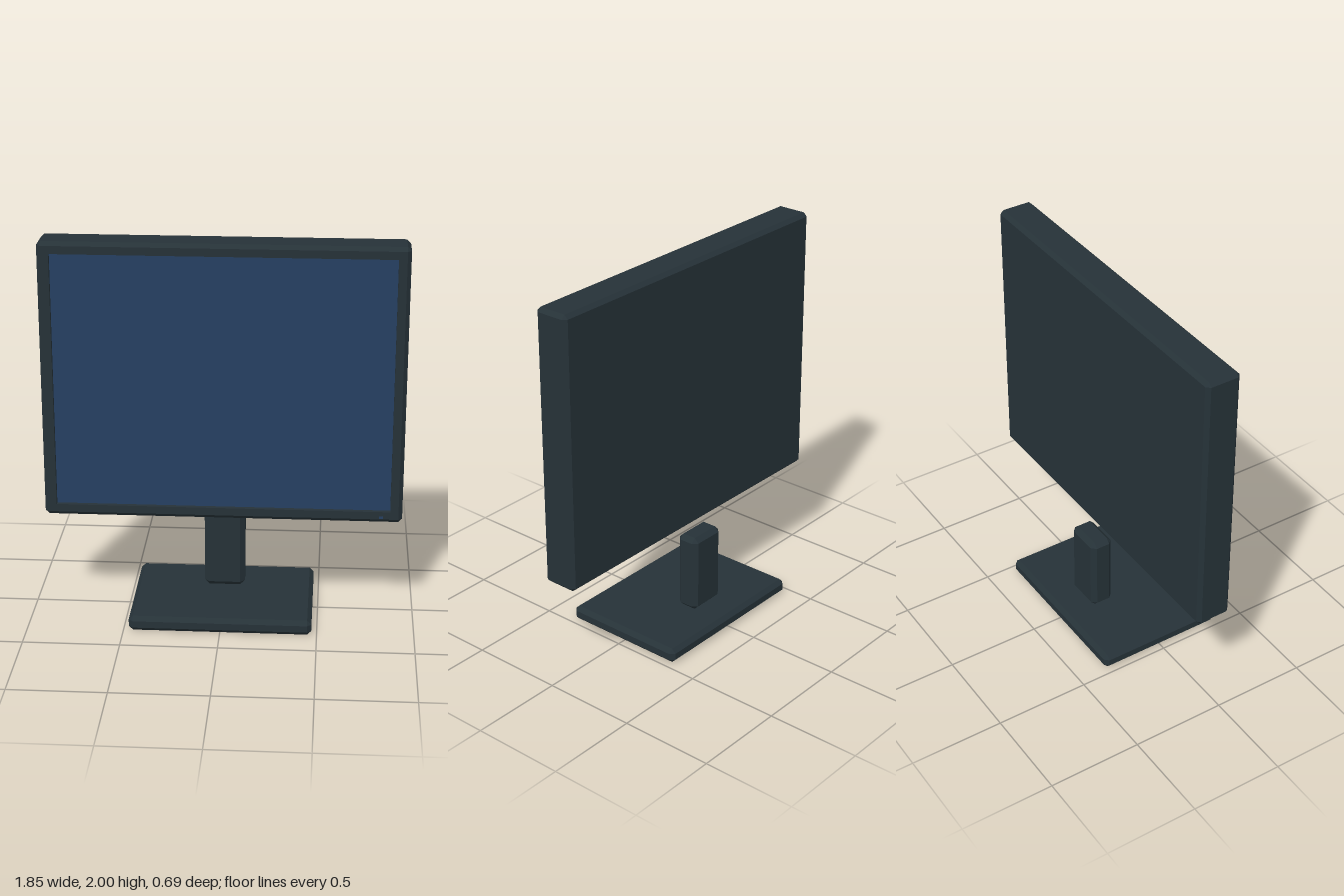
import * as THREE from 'three';

// rectangle ring of eight points at depth z, with its corners cut by c
function ring(w, h, z, c = 0) {
  const x = w / 2, y = h / 2;
  return [
    [x, c - y, z], [x, y - c, z], [x - c, y, z], [c - x, y, z],
    [-x, y - c, z], [-x, c - y, z], [c - x, -y, z], [x - c, -y, z],
  ].map(p => new THREE.Vector3(...p));
}

// flat-sided skin through rings, with optional flat caps
function loft(rings, capBack, capFront) {
  const pts = [];
  const tri = (a, b, c) => {
    const area = b.clone().sub(a).cross(c.clone().sub(a)).length();
    if (area > 1e-8) pts.push(a, b, c);
  };
  for (let r = 0; r < rings.length - 1; r++) {
    const a = rings[r], b = rings[r + 1];
    for (let i = 0; i < 8; i++) {
      const j = (i + 1) % 8;
      tri(a[i], a[j], b[j]);
      tri(a[i], b[j], b[i]);
    }
  }
  const first = rings[0], last = rings[rings.length - 1];
  for (let i = 1; i < 7; i++) {
    if (capBack) tri(first[0], first[i + 1], first[i]);
    if (capFront) tri(last[0], last[i], last[i + 1]);
  }
  const g = new THREE.BufferGeometry().setFromPoints(pts);
  g.computeVertexNormals();
  return g;
}

// the four rings of a box with every edge chamfered by c
const chamferRings = (w, h, d, c) => [
  ring(w - 2 * c, h - 2 * c, -d / 2),
  ring(w, h, c - d / 2, c),
  ring(w, h, d / 2 - c, c),
  ring(w - 2 * c, h - 2 * c, d / 2),
];

export function createModel() {
  const model = new THREE.Group();
  model.name = 'monitor';
  const casing = new THREE.MeshStandardMaterial({ color: 0x263238 });
  casing.name = 'dark casing';
  casing.flatShading = true;
  const glass = new THREE.MeshStandardMaterial({ color: 0x264062 });
  glass.name = 'blue screen';

  const add = (name, geometry, material, x, y, z) => {
    const mesh = new THREE.Mesh(geometry, material);
    mesh.name = name;
    mesh.position.set(x, y, z);
    model.add(mesh);
  };

  // foot and neck
  add('base', loft(chamferRings(0.945, 0.08, 0.69, 0.022), true, true), casing, 0, 0.04, 0);
  add('neck', loft(chamferRings(0.214, 0.43, 0.126, 0.025), true, true), casing, 0, 0.295, -0.127);

  // housing whose front steps in to a shallow recess
  const screenW = 1.73, screenH = 1.34, recessZ = 0.072;
  const housing = [
    ...chamferRings(1.854, 1.462, 0.19, 0.02),
    ring(screenW, screenH, 0.095),
    ring(screenW, screenH, recessZ),
  ];
  add('housing', loft(housing, true, false), casing, 0, 1.269, 0);
  add('screen', new THREE.PlaneGeometry(screenW, screenH), glass, 0, 1.269, recessZ);

  // small light in the lower bezel
  add('powerLight', new THREE.BoxGeometry(0.022, 0.012, 0.008), glass, 0.818, 0.57, 0.096);

  return model;
}
